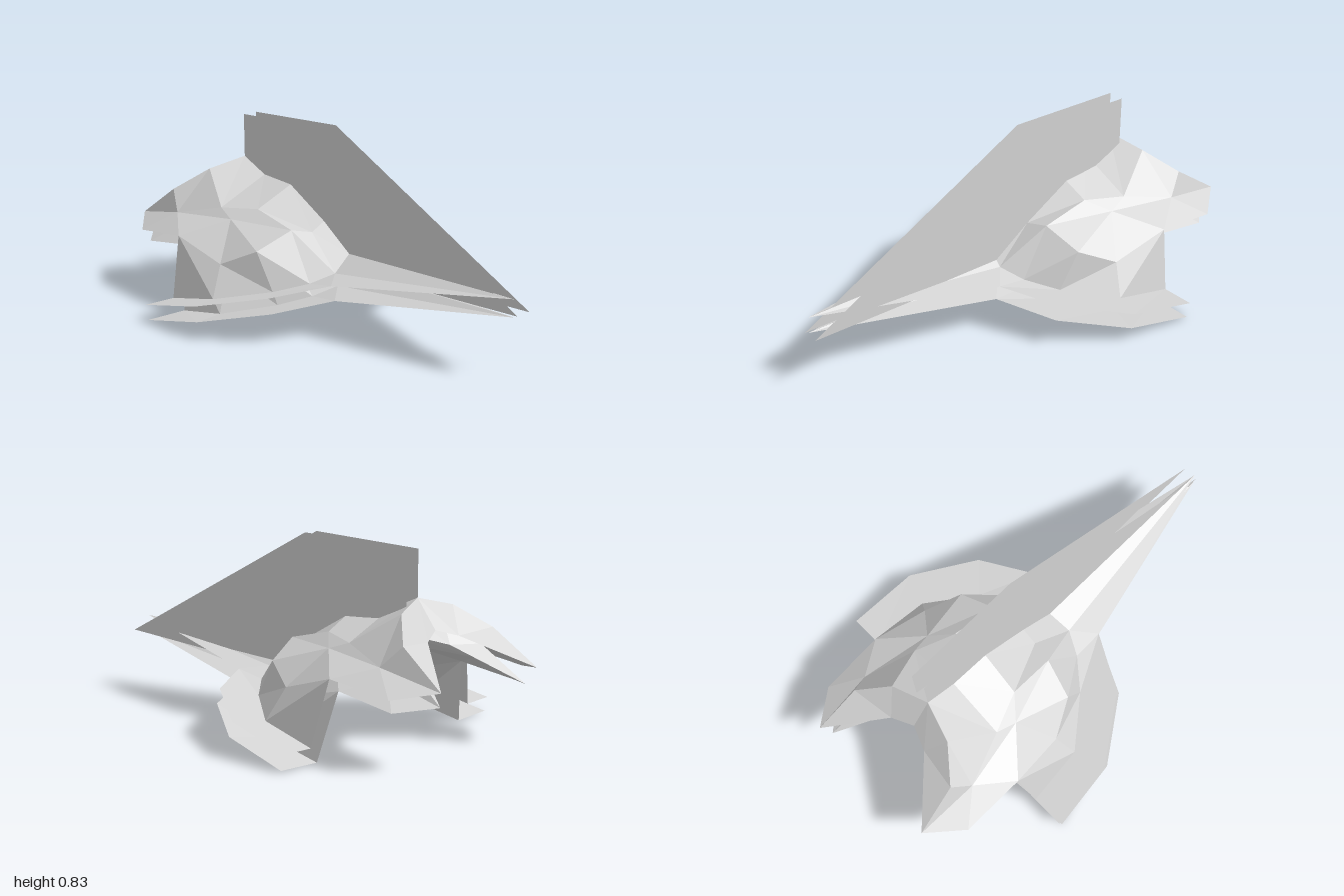
import * as THREE from 'three';

const grey = new THREE.MeshStandardMaterial({ color: 0xd4d4d4, side: THREE.DoubleSide, flatShading: true });
grey.name = 'pale grey';

const THICKNESS = .067;

// Left half of the outer shell
const outer = [
  // base ring, front centre to rear
  [0, .31, .06], [.1, .25, .08], [.2, .215, .03], [.32, .18, -.07], [.485, .135, -.27], [.505, .075, -.53],
  // brow and cheek
  [0, .42, -.1], [.07, .385, -.1], [.17, .41, -.12], [.33, .34, -.16], [.41, .265, -.31], [.44, .34, -.565],
  // forehead
  [.18, .46, -.33], [.27, .415, -.41], [0, .54, -.32], [0, .55, -.5], [.25, .445, -.5],
  // rear crest down to the horn
  [0, .61, -.64], [.165, .57, -.69], [.29, .475, -.8], [.315, .33, -1], [.33, .39, -.72], [.435, .3, -.85],
  // rear rim
  [0, .49, -.73], [.1, .46, -.77],
  // beak tip and outer edge of the brim
  [0, .355, .98], [.2, .24, .165], [.435, .21, .04], [.62, .15, -.22], [.652, .08, -.53],
];
const hoodFaces = [
  [0, 1, 7], [0, 7, 6], [1, 2, 8], [1, 8, 7], [2, 3, 9], [2, 9, 8], [3, 4, 10], [3, 10, 9], [4, 5, 11], [4, 11, 10],
  [6, 7, 14], [7, 12, 14], [7, 8, 12], [8, 9, 13], [8, 13, 12], [9, 10, 13], [10, 11, 13],
  [14, 12, 15], [12, 16, 15], [12, 13, 16], [15, 16, 17], [16, 18, 17], [16, 13, 21], [16, 21, 18],
  [18, 21, 19], [19, 21, 20], [13, 11, 21], [11, 22, 21], [21, 22, 20],
  [17, 18, 24], [17, 24, 23], [18, 19, 24], [19, 20, 24],
];
const brimFaces = [
  [25, 1, 0], [25, 26, 1], [26, 2, 1], [26, 27, 3], [26, 3, 2], [27, 28, 4], [27, 4, 3], [28, 29, 5], [28, 5, 4],
];

// Inner shell: every point moved inward by an even wall thickness
function inset(points, faces) {
  const p = points.map((a) => new THREE.Vector3(...a));
  const corners = points.map(() => []);
  for (const f of faces) {
    const normal = new THREE.Triangle(...f.map((i) => p[i])).getNormal(new THREE.Vector3());
    f.forEach((i, k) => {
      const a = p[f[(k + 1) % 3]].clone().sub(p[i]);
      const b = p[f[(k + 2) % 3]].clone().sub(p[i]);
      corners[i].push({ normal, angle: a.angleTo(b) });
    });
  }
  return p.map((v, i) => {
    const n = new THREE.Vector3();
    for (const c of corners[i]) n.addScaledVector(c.normal, c.angle);
    if (v.x === 0) n.x = 0;
    n.normalize();
    let sum = 0, total = 0;
    for (const c of corners[i]) {
      sum += c.angle / Math.max(Math.abs(n.dot(c.normal)), .5);
      total += c.angle;
    }
    const depth = THICKNESS * Math.min(sum / total, 1.25);
    return v.addScaledVector(n, -depth).toArray();
  });
}

// Flat faces for one half and its mirror image
function mirrored(name, points, faces, inward = false) {
  const pos = [];
  for (const side of [1, -1]) {
    for (const face of faces) {
      const order = (side < 0) !== inward ? [...face].reverse() : face;
      for (const i of order) pos.push(points[i][0] * side, points[i][1], points[i][2]);
    }
  }
  const g = new THREE.BufferGeometry();
  g.setAttribute('position', new THREE.Float32BufferAttribute(pos, 3));
  g.computeVertexNormals();
  const mesh = new THREE.Mesh(g, grey);
  mesh.name = name;
  return mesh;
}

export function createModel() {
  const group = new THREE.Group();
  group.name = 'beakedMask';
  const inner = inset(outer, [...hoodFaces, ...brimFaces]);
  group.add(
    mirrored('hood', outer, hoodFaces),
    mirrored('hoodLining', inner, hoodFaces, true),
    mirrored('upperBrim', outer, brimFaces),
    mirrored('lowerBrim', inner, brimFaces, true),
  );

  // Two sides of the crest fin, drawn in side profile (z, y)
  const profile = [[1, .29], [-.1, .835], [-.64, .805], [-.64, .55], [-.5, .48], [-.33, .45], [-.1, .35], [.08, .235]];
  const shape = new THREE.Shape(profile.map(([z, y]) => new THREE.Vector2(-z, y)));
  for (const [name, x] of [['leftFinSide', .07], ['rightFinSide', 0]]) {
    const fin = new THREE.Mesh(new THREE.ShapeGeometry(shape), grey);
    fin.name = name;
    fin.rotation.y = Math.PI / 2;
    fin.position.x = x;
    group.add(fin);
  }
  return group;
}
